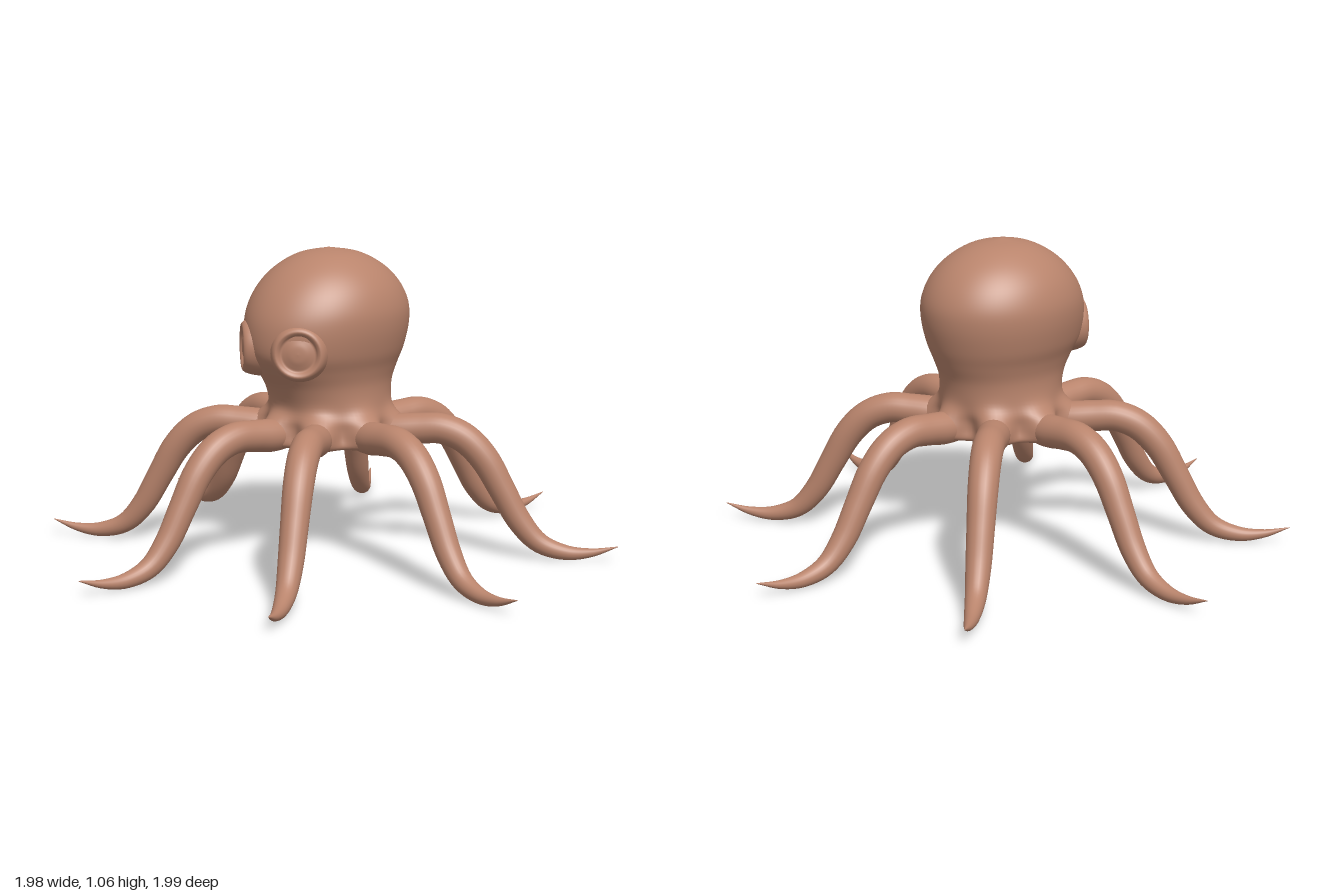
import * as THREE from 'three';

// Closed-ring skin: joins equal-length rings of points with smooth shared normals
function loft(rings) {
  const n = rings[0].length;
  const index = [];
  for (let i = 0; i < rings.length - 1; i++) {
    for (let j = 0; j < n; j++) {
      const k = (j + 1) % n;
      const a = i * n + j, b = (i + 1) * n + j, c = (i + 1) * n + k, d = i * n + k;
      index.push(a, b, c, a, c, d);
    }
  }
  const geo = new THREE.BufferGeometry().setFromPoints(rings.flat());
  geo.setIndex(index);
  geo.computeVertexNormals();
  return geo;
}

const spline = (pts) => new THREE.CatmullRomCurve3(pts, false, 'catmullrom', 0.5);

// Head and mantle, from the middle of the underside up to the crown
function bodyGeometry() {
  // y, half width, front depth, back depth
  const sections = [
    [0.43, 0.001, 0.001, 0.001], [0.415, 0.12, 0.12, 0.12], [0.395, 0.2, 0.2, 0.2],
    [0.405, 0.245, 0.245, 0.245], [0.44, 0.255, 0.255, 0.255], [0.48, 0.238, 0.238, 0.245],
    [0.53, 0.207, 0.212, 0.232], [0.6, 0.2, 0.24, 0.24], [0.66, 0.213, 0.285, 0.264],
    [0.72, 0.236, 0.322, 0.287], [0.8, 0.253, 0.325, 0.305], [0.87, 0.252, 0.305, 0.302],
    [0.94, 0.226, 0.26, 0.267], [1.0, 0.175, 0.195, 0.205], [1.045, 0.1, 0.108, 0.115],
    [1.065, 0.001, 0.001, 0.001],
  ];
  const width = spline(sections.map(([y, w]) => new THREE.Vector3(w, y, 0)));
  const depth = spline(sections.map(([y, , f, b]) => new THREE.Vector3(f, y, b)));
  const rings = [];
  for (let i = 0; i <= 75; i++) {
    const p = width.getPoint(i / 75), d = depth.getPoint(i / 75);
    const web = 0.16 * Math.exp(-(((p.y - 0.44) / 0.055) ** 2)) * Math.min(1, p.x / 0.2);
    const ring = [];
    for (let j = 0; j < 96; j++) {
      const t = (j / 96) * Math.PI * 2;
      // the skirt swells toward each of the eight arms
      const swell = 1 + web * Math.cos(8 * (t - THREE.MathUtils.degToRad(11)));
      const z = Math.sin(t) > 0 ? d.x : d.z;
      ring.push(new THREE.Vector3(Math.cos(t) * p.x * swell, p.y, Math.sin(t) * z * swell));
    }
    rings.push(ring);
  }
  return loft(rings);
}

// One arm lying along +x: arches out, drops, and curls up to a point
function armGeometry() {
  // distance out, height, radius
  const path = spline([
    [0.13, 0.44, 0.045], [0.24, 0.437, 0.056], [0.32, 0.444, 0.054], [0.4, 0.446, 0.053],
    [0.48, 0.414, 0.052], [0.55, 0.343, 0.05], [0.61, 0.24, 0.046], [0.67, 0.135, 0.042],
    [0.74, 0.06, 0.035], [0.83, 0.03, 0.026], [0.92, 0.034, 0.015], [1.01, 0.06, 0.001],
  ].map((p) => new THREE.Vector3(...p)));
  const rings = [];
  for (let i = 0; i <= 60; i++) {
    const p = path.getPoint(i / 60);
    const t = path.getTangent(i / 60).setZ(0).normalize();
    const r = Math.max(p.z, 0.0008);
    const ring = [];
    for (let j = 0; j < 24; j++) {
      const a = (j / 24) * Math.PI * 2;
      const up = Math.cos(a) * r;
      ring.push(new THREE.Vector3(p.x - t.y * up, p.y + t.x * up, -Math.sin(a) * r));
    }
    rings.push(ring);
  }
  return loft(rings);
}

// Shallow domed eye inside a soft raised rim, facing +z
function eyeGeometry() {
  const profile = new THREE.SplineCurve([
    [0.101, -0.05], [0.096, -0.02], [0.088, 0.004], [0.077, 0.014],
    [0.067, 0.01], [0.058, 0.002], [0.045, 0.005], [0.025, 0.011], [0, 0.013],
  ].map((p) => new THREE.Vector2(...p)));
  const pts = profile.getPoints(32);
  pts.forEach((p) => { p.x = Math.max(p.x, 0); });
  return new THREE.LatheGeometry(pts, 40).rotateX(Math.PI / 2);
}

export function createModel() {
  const model = new THREE.Group();
  model.name = 'octopus';
  const skin = new THREE.MeshStandardMaterial({ color: 0xb9846c });
  const add = (geometry, name) => {
    const mesh = new THREE.Mesh(geometry, skin);
    mesh.name = name;
    model.add(mesh);
    return mesh;
  };

  add(bodyGeometry(), 'body');

  // Eight arms around the skirt
  const arm = armGeometry();
  [11.4, 56.8, 98.8, 146.4, 190.3, 236.3, 281.2, 328.4].forEach((deg, i) => {
    add(arm, `arm${i + 1}`).rotation.y = -THREE.MathUtils.degToRad(deg);
  });

  // Eyes, angled outward on the front of the head
  const eye = eyeGeometry();
  for (const side of [1, -1]) {
    const mesh = add(eye, side > 0 ? 'leftEye' : 'rightEye');
    mesh.position.set(side * 0.125, 0.738, 0.277);
    mesh.rotation.y = side * 0.67;
  }
  return model;
}
